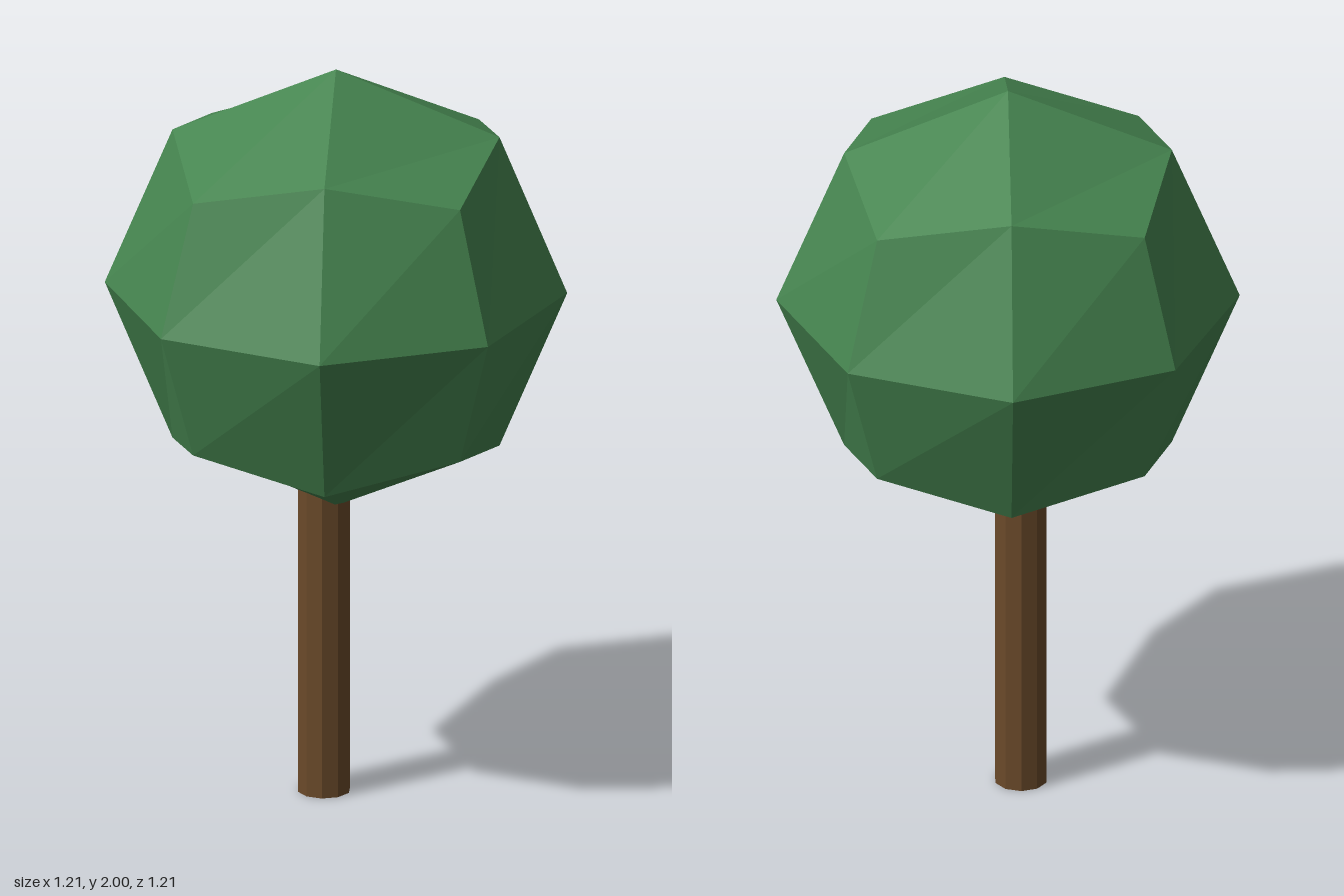
import * as THREE from 'three';

export function createModel() {
  const tree = new THREE.Group();
  tree.name = 'tree';

  // Crown: a box split 2 x 2 on each side, pushed out to a faceted ball
  const radius = 0.603;
  const crownGeometry = new THREE.BoxGeometry(1, 1, 1, 2, 2, 2);
  const points = crownGeometry.attributes.position;
  const v = new THREE.Vector3();
  for (let i = 0; i < points.count; i++) {
    v.fromBufferAttribute(points, i).setLength(radius);
    points.setXYZ(i, v.x, v.y, v.z);
  }
  crownGeometry.computeVertexNormals();
  const crown = new THREE.Mesh(
    crownGeometry,
    new THREE.MeshStandardMaterial({ color: 0x468550, flatShading: true })
  );
  crown.name = 'crown';
  crown.position.y = 2 - radius;
  tree.add(crown);

  // Trunk: ten-sided post, slightly off centre, running up into the crown
  const trunkHeight = 0.95;
  const trunk = new THREE.Mesh(
    new THREE.CylinderGeometry(0.07, 0.07, trunkHeight, 10),
    new THREE.MeshStandardMaterial({ color: 0x6b4a2a, flatShading: true })
  );
  trunk.name = 'trunk';
  trunk.position.set(-0.033, trunkHeight / 2, -0.02);
  tree.add(trunk);

  return tree;
}
